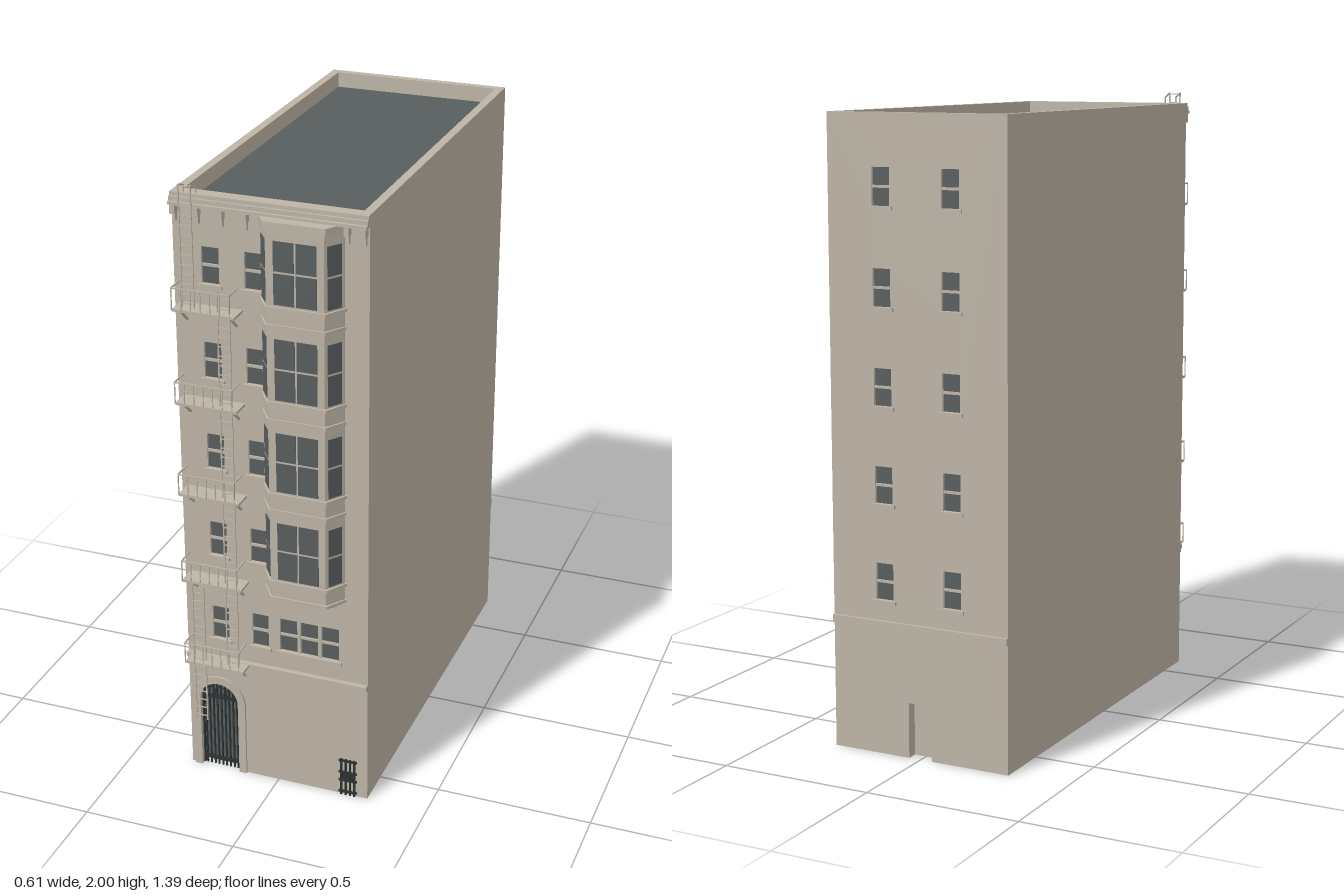
import * as THREE from 'three';

const FRONT = 0.625, BACK = -0.685, HALF = 0.303, TOP = 1.965, WALL = 0.027;
const ROWS = [0.49, 0.79, 1.09, 1.39, 1.69];

export function createModel() {
  const model = new THREE.Group();
  model.name = 'apartmentBuilding';
  const mat = (name, color, side = THREE.FrontSide) => {
    const m = new THREE.MeshStandardMaterial({ color, side });
    m.name = name;
    return m;
  };
  const stone = mat('stone', 0xbdb4a6);
  const slate = mat('slateGlass', 0x585d5e);
  const iron = mat('darkIron', 0x2e3233);

  const add = (parent, name, geo, material) => {
    const mesh = new THREE.Mesh(geo, material);
    mesh.name = name;
    parent.add(mesh);
    return mesh;
  };
  // Box given by its two extreme corners
  const box = (parent, name, material, x0, x1, y0, y1, z0, z1) => {
    const mesh = add(parent, name, new THREE.BoxGeometry(x1 - x0, y1 - y0, z1 - z0), material);
    mesh.position.set((x0 + x1) / 2, (y0 + y1) / 2, (z0 + z1) / 2);
    return mesh;
  };
  const group = (name, parent = model) => {
    const g = new THREE.Group();
    g.name = name;
    parent.add(g);
    return g;
  };
  const rod = (parent, name, material, a, b, r = 0.002) => {
    const p = new THREE.Vector3(...a), q = new THREE.Vector3(...b);
    const mesh = add(parent, name, new THREE.BoxGeometry(r * 2, p.distanceTo(q), r * 2), material);
    mesh.position.copy(p).add(q).multiplyScalar(0.5);
    mesh.quaternion.setFromUnitVectors(new THREE.Vector3(0, 1, 0), q.sub(p).normalize());
  };
  const rectHole = (x0, x1, y0, y1) => new THREE.Path([[x0, y0], [x0, y1], [x1, y1], [x1, y0]]
    .map(p => new THREE.Vector2(...p)));
  const extrude = (shape, depth) => new THREE.ExtrudeGeometry(shape, { depth, bevelEnabled: false, curveSegments: 12 });

  // Sash window set into a wall, local +z pointing outwards from the wall face
  const sash = (parent, x0, x1, y0, y1, sill) => {
    const g = group('window', parent), mid = (y0 + y1) / 2;
    box(g, 'glass', slate, x0, x1, y0, y1, -0.014, -0.009);
    box(g, 'meetingRail', stone, x0, x1, mid - 0.004, mid + 0.004, -0.009, -0.003);
    if (sill) box(g, 'sill', stone, x0 - 0.01, x1 + 0.01, y0 - 0.012, y0, -0.005, 0.008);
    return g;
  };

  // Front wall with arched doorway and window openings
  const doorX = -0.2, doorR = 0.065, spring = 0.255;
  const frontShape = new THREE.Shape();
  frontShape.moveTo(-HALF, 0);
  frontShape.lineTo(doorX - doorR, 0);
  frontShape.lineTo(doorX - doorR, spring);
  frontShape.absarc(doorX, spring, doorR, Math.PI, 0, true);
  frontShape.lineTo(doorX + doorR, 0);
  frontShape.lineTo(HALF, 0);
  frontShape.lineTo(HALF, TOP);
  frontShape.lineTo(-HALF, TOP);
  const frontWindows = group('frontWindows');
  frontWindows.position.z = FRONT;
  const frontWindow = (x0, x1, y) => {
    frontShape.holes.push(rectHole(x0, x1, y, y + 0.115));
    sash(frontWindows, x0, x1, y, y + 0.115, true);
  };
  for (const y of ROWS) {
    frontWindow(-0.215, -0.16, y);
    frontWindow(-0.08, -0.026, y);
  }
  for (let i = 0; i < 3; i++) frontWindow(0.012 + i * 0.069, 0.07 + i * 0.069, ROWS[0]);
  add(model, 'frontWall', extrude(frontShape, 0.03), stone).position.z = FRONT - 0.03;

  // Back wall with service door and windows, modelled facing +z and turned round
  const rear = group('rear');
  rear.rotation.y = Math.PI;
  rear.position.z = BACK;
  const backShape = new THREE.Shape([[-HALF, 0], [-0.04, 0], [-0.04, 0.175], [0.045, 0.175], [0.045, 0],
    [HALF, 0], [HALF, TOP], [-HALF, TOP]].map(p => new THREE.Vector2(...p)));
  for (const y of ROWS) for (const x of [-0.12, 0.115]) {
    backShape.holes.push(rectHole(x - 0.03, x + 0.03, y, y + 0.115));
    sash(rear, x - 0.03, x + 0.03, y, y + 0.115, true);
  }
  add(rear, 'backWall', extrude(backShape, WALL), stone).position.z = -WALL;
  box(rear, 'backDoor', stone, -0.04, 0.045, 0, 0.175, -0.045, -0.035);
  for (const x of [-0.045, 0.045]) box(rear, 'doorReveal', stone, x - 0.005, x + 0.005, 0, 0.175, -0.045, -0.001);
  box(rear, 'backBand', stone, -HALF, HALF, 0.402, 0.425, 0, 0.01);

  // Side walls and sunken roof
  for (const s of [-1, 1]) {
    const x = s * (HALF - WALL / 2);
    box(model, 'sideWall', stone, x - WALL / 2, x + WALL / 2, 0, TOP, BACK + WALL, FRONT - 0.03);
  }
  box(model, 'roof', slate, -HALF + WALL, HALF - WALL, 1.905, 1.915, BACK + WALL, FRONT - 0.03);

  // Cornice, belt course and hanging brackets
  const cornice = group('cornice');
  [[1.93, 1.94, 0.655], [1.94, 1.953, 0.645], [1.953, TOP, 0.637]].forEach(([a, b, z]) =>
    box(cornice, 'corniceStep', stone, -HALF, HALF, a, b, FRONT, z));
  for (const x of [-0.292, -0.22, -0.145, -0.07, 0.24, 0.29]) {
    box(cornice, 'bracket', stone, x - 0.008, x + 0.008, 1.9, 1.93, FRONT, 0.648);
    box(cornice, 'bracketDrop', stone, x - 0.005, x + 0.005, 1.875, 1.9, FRONT, 0.637);
  }
  box(model, 'beltLower', stone, -HALF, HALF, 0.398, 0.41, FRONT, 0.633);
  box(model, 'beltUpper', stone, -HALF, HALF, 0.41, 0.425, FRONT, 0.642);

  // Canted bay: stacked trapezoid prisms
  const bay = group('bayWindow');
  bay.position.x = 0.1;
  const bayPrism = (name, grow, y0, y1) => {
    const f = 0.088 + grow, b = 0.128 + grow, z = 0.684 + grow;
    const shape = new THREE.Shape([[-b, 0.62], [b, 0.62], [b, 0.627], [f, z], [-f, z], [-b, 0.627]]
      .map(p => new THREE.Vector2(...p)));
    add(bay, name, extrude(shape, y1 - y0).rotateX(Math.PI / 2), stone).position.y = y1;
  };
  bayPrism('bayBody', 0, 0.71, 1.925);
  bayPrism('bayCap', 0.007, 1.912, 1.932);
  bayPrism('bayCapMoulding', 0.003, 1.895, 1.912);
  bayPrism('bayFoot', -0.012, 0.698, 0.71);
  bayPrism('bayFootLower', -0.028, 0.685, 0.698);
  const faces = [[0, 0.684, 0], [0.108, 0.6555, 1], [-0.108, 0.6555, -1]];
  for (let i = 0; i < 4; i++) {
    const y = 0.78 + i * 0.3;
    bayPrism('baySill', 0.006, y - 0.014, y - 0.004);
    bayPrism('bayBand', 0.005, y - 0.07, y - 0.06);
    for (const [x, z, side] of faces) {
      const face = group('bayFace', bay);
      face.position.set(x, 0, z);
      face.rotation.y = side * Math.atan2(0.057, 0.04);
      const panes = side ? [[-0.024, 0.024]] : [[-0.066, -0.003], [0.003, 0.066]];
      for (const [a, b] of panes) {
        box(face, 'lowerPane', slate, a, b, y + 0.002, y + 0.097, -0.002, 0.002);
        box(face, 'upperPane', slate, a, b, y + 0.104, y + 0.195, -0.002, 0.002);
      }
    }
  }

  // Arched entrance: moulded surround, dark door and iron gate
  const entrance = group('entrance');
  const archBand = (r0, r1) => {
    const s = new THREE.Shape();
    s.moveTo(doorX + r0, 0);
    s.lineTo(doorX + r1, 0);
    s.lineTo(doorX + r1, spring);
    s.absarc(doorX, spring, r1, 0, Math.PI, false);
    s.lineTo(doorX - r1, 0);
    s.lineTo(doorX - r0, 0);
    s.lineTo(doorX - r0, spring);
    s.absarc(doorX, spring, r0, Math.PI, 0, true);
    return s;
  };
  add(entrance, 'archSurround', extrude(archBand(doorR, 0.09), 0.008), stone).position.z = FRONT;
  add(entrance, 'gateFrame', extrude(archBand(doorR - 0.005, doorR), 0.008), iron).position.z = 0.61;
  box(entrance, 'entranceDoor', slate, doorX - 0.07, doorX + 0.07, 0, 0.325, 0.588, 0.594);
  for (let i = -4; i <= 4; i++) {
    const x = i * 0.0135, h = spring + Math.sqrt(doorR * doorR - x * x) - 0.004;
    rod(entrance, 'gateBar', iron, [doorX + x, 0, 0.614], [doorX + x, h, 0.614], 0.0025);
  }
  for (const y of [0.02, spring]) box(entrance, 'gateRail', iron, doorX - doorR, doorX + doorR, y, y + 0.01, 0.61, 0.618);
  for (let i = -1; i <= 1; i++) {
    const ring = add(entrance, 'gateScroll', new THREE.TorusGeometry(0.016, 0.0025, 4, 14), iron);
    ring.position.set(doorX + i * 0.034, 0.283 - Math.abs(i) * 0.004, 0.616);
  }

  // Small street grille
  const grille = group('streetGrille');
  for (let i = 0; i < 4; i++) rod(grille, 'grilleBar', iron, [0.217 + i * 0.0145, 0, 0.629], [0.217 + i * 0.0145, 0.135, 0.629], 0.003);
  for (const y of [0.012, 0.055, 0.085, 0.128]) box(grille, 'grilleRail', iron, 0.208, 0.268, y - 0.003, y + 0.003, FRONT, 0.632);
  box(grille, 'grilleVent', iron, 0.217, 0.26, 0.055, 0.085, FRONT, 0.629);

  // Fire escape balconies
  const escape = group('fireEscape');
  const X0 = -0.285, X1 = -0.088, Z1 = 0.69;
  for (const y of [0.42, 0.715, 1.015, 1.32, 1.62]) {
    const b = group('balcony', escape);
    box(b, 'balconyFloor', stone, X0, X1, y - 0.004, y + 0.004, FRONT, Z1);
    const h = y + 0.07;
    rod(b, 'handrail', stone, [X0, h, Z1], [X1 - 0.015, h, Z1]);
    for (const x of [X0, X1 - 0.015]) rod(b, 'endRail', stone, [x, h, FRONT], [x, h, Z1]);
    for (let i = 0; i < 7; i++) {
      const x = X0 + i * (X1 - 0.015 - X0) / 6;
      rod(b, 'baluster', stone, [x, y, Z1], [x, h, Z1], 0.0015);
    }
    for (const x of [X0 + 0.02, X1 - 0.02]) rod(b, 'strut', stone, [x, y - 0.05, FRONT], [x, y, Z1 - 0.01], 0.003);
  }

  // Ladders
  const ladder = (x, y0, y1, z) => {
    const g = group('ladder', escape);
    for (const s of [-1, 1]) rod(g, 'stile', stone, [x + s * 0.019, y0, z], [x + s * 0.019, y1, z]);
    for (let y = y0 + 0.015; y < y1; y += 0.03) rod(g, 'rung', stone, [x - 0.019, y, z], [x + 0.019, y, z], 0.0015);
  };
  ladder(-0.132, 0.42, 1.69, 0.665);
  ladder(-0.245, 0.2, 0.69, 0.665);
  ladder(-0.245, 1.62, 1.998, 0.662);
  for (const x of [-0.264, -0.226]) {
    rod(escape, 'ladderHook', stone, [x, 1.998, 0.662], [x, 1.985, 0.625]);
    rod(escape, 'ladderHookEnd', stone, [x, 1.985, 0.625], [x, 1.96, 0.625]);
  }
  return model;
}
